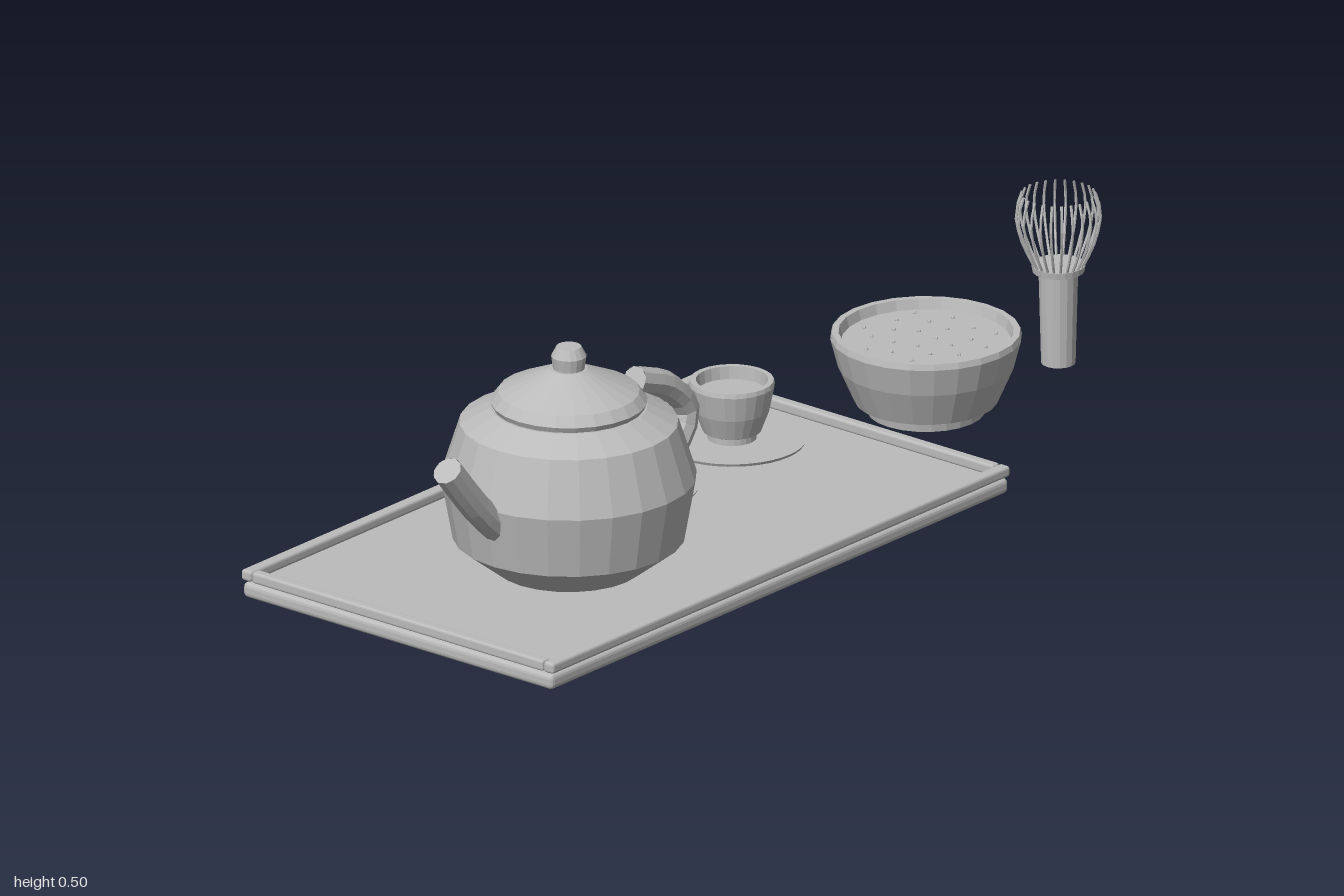
import * as THREE from 'three';
import { RoundedBoxGeometry } from 'three/addons/geometries/RoundedBoxGeometry.js';

const clay = new THREE.MeshStandardMaterial({ color: 0xbbbbbb, flatShading: true, side: THREE.DoubleSide });
clay.name = 'plain grey clay';

function add(parent, name, geometry, x = 0, y = 0, z = 0) {
  const mesh = new THREE.Mesh(geometry, clay);
  mesh.name = name;
  mesh.position.set(x, y, z);
  parent.add(mesh);
  return mesh;
}

function group(parent, name, x, z) {
  const g = new THREE.Group();
  g.name = name;
  g.position.set(x, 0, z);
  parent.add(g);
  return g;
}

// Turned part from [radius, height] pairs, bottom to top
const lathe = (profile, sides) =>
  new THREE.LatheGeometry(profile.map(([r, y]) => new THREE.Vector2(r, y)), sides);

const curveOf = (points) => new THREE.CatmullRomCurve3(points.map((p) => new THREE.Vector3(...p)));

// Round bar along a curve with closed ends
function bar(parent, name, points, radius, steps, sides) {
  const curve = curveOf(points);
  add(parent, name, new THREE.TubeGeometry(curve, steps, radius, sides));
  for (const t of [0, 1]) {
    const p = curve.getPointAt(t);
    const cap = add(parent, name + 'End', new THREE.CircleGeometry(radius, sides), p.x, p.y, p.z);
    cap.quaternion.setFromUnitVectors(new THREE.Vector3(0, 0, 1), curve.getTangentAt(t));
  }
}

function buildTray(root) {
  const tray = group(root, 'tray', -0.322, 0);
  add(tray, 'trayBase', new RoundedBoxGeometry(1.355, 0.031, 0.768, 2, 0.01), 0, 0.0155, 0);
  for (const s of [-1, 1]) {
    add(tray, 'longRail', new RoundedBoxGeometry(1.355, 0.022, 0.025, 2, 0.006), 0, 0.045, s * 0.375);
    add(tray, 'endRail', new RoundedBoxGeometry(0.022, 0.022, 0.722, 2, 0.005), s * 0.666, 0.045, 0);
  }
}

function buildTeapot(root) {
  const pot = group(root, 'teapot', -0.57, 0.067);
  add(pot, 'potBody', lathe([[0, 0.05], [0.142, 0.05], [0.222, 0.112], [0.244, 0.235],
    [0.209, 0.345], [0.15, 0.376], [0, 0.376]], 24));
  add(pot, 'lid', lathe([[0, 0.376], [0.145, 0.376], [0.15, 0.387], [0.135, 0.407],
    [0.036, 0.452], [0, 0.455]], 24));
  add(pot, 'lidKnob', lathe([[0.03, 0.45], [0.034, 0.478], [0.024, 0.497], [0, 0.497]], 16));
  bar(pot, 'spout', [[-0.19, 0.17, 0], [-0.27, 0.245, 0], [-0.36, 0.35, 0]], 0.029, 6, 10);
  bar(pot, 'handle', [[0.195, 0.37, 0], [0.29, 0.33, 0], [0.347, 0.262, 0], [0.305, 0.195, 0],
    [0.215, 0.152, 0]], 0.027, 12, 8);
}

function buildCup(root, x) {
  const cup = group(root, 'cupAndSaucer', x, -0.115);
  add(cup, 'saucer', new THREE.CylinderGeometry(0.143, 0.14, 0.006, 40), 0, 0.053, 0);
  add(cup, 'cup', lathe([[0, 0.056], [0.047, 0.056], [0.047, 0.068], [0.056, 0.072], [0.072, 0.115],
    [0.082, 0.165], [0.08, 0.174], [0.069, 0.174], [0.066, 0.145]], 24));
  add(cup, 'cupTea', new THREE.CylinderGeometry(0.067, 0.067, 0.004, 24), 0, 0.147, 0);
}

function buildBowl(root) {
  const bowl = group(root, 'teaBowl', 0.583, -0.013);
  add(bowl, 'bowl', lathe([[0, 0], [0.112, 0], [0.115, 0.018], [0.137, 0.024], [0.168, 0.095],
    [0.183, 0.152], [0.18, 0.164], [0.167, 0.164], [0.16, 0.138]], 24));
  add(bowl, 'bowlTea', new THREE.CylinderGeometry(0.162, 0.162, 0.004, 24), 0, 0.142, 0);
  // Foam bubbles scattered over the tea
  const bubble = new THREE.SphereGeometry(0.004, 6, 4);
  for (let i = 0; i < 24; i++) {
    const a = i * 2.4 + 0.5;
    const r = 0.145 * Math.sqrt((i + 0.5) / 24);
    add(bowl, 'bubble', bubble, Math.cos(a) * r, 0.145, Math.sin(a) * r);
  }
}

function buildWhisk(root) {
  const whisk = group(root, 'whisk', 0.915, 0.037);
  add(whisk, 'whiskHandle', new THREE.CylinderGeometry(0.038, 0.033, 0.19, 16), 0, 0.107, 0);
  add(whisk, 'whiskCollar', new THREE.CylinderGeometry(0.052, 0.05, 0.013, 20), 0, 0.206, 0);
  // Ring of thin tines that swell out and curl in
  const tine = new THREE.TubeGeometry(curveOf([[0.047, 0.21, 0], [0.068, 0.255, 0], [0.081, 0.315, 0],
    [0.07, 0.357, 0]]), 6, 0.0028, 5);
  for (let i = 0; i < 24; i++) add(whisk, 'tine', tine).rotation.y = (i / 24) * Math.PI * 2;
}

export function createModel() {
  const root = new THREE.Group();
  root.name = 'teaSet';
  buildTray(root);
  buildTeapot(root);
  for (const x of [-0.188, 0.13]) buildCup(root, x);
  buildBowl(root);
  buildWhisk(root);
  return root;
}
